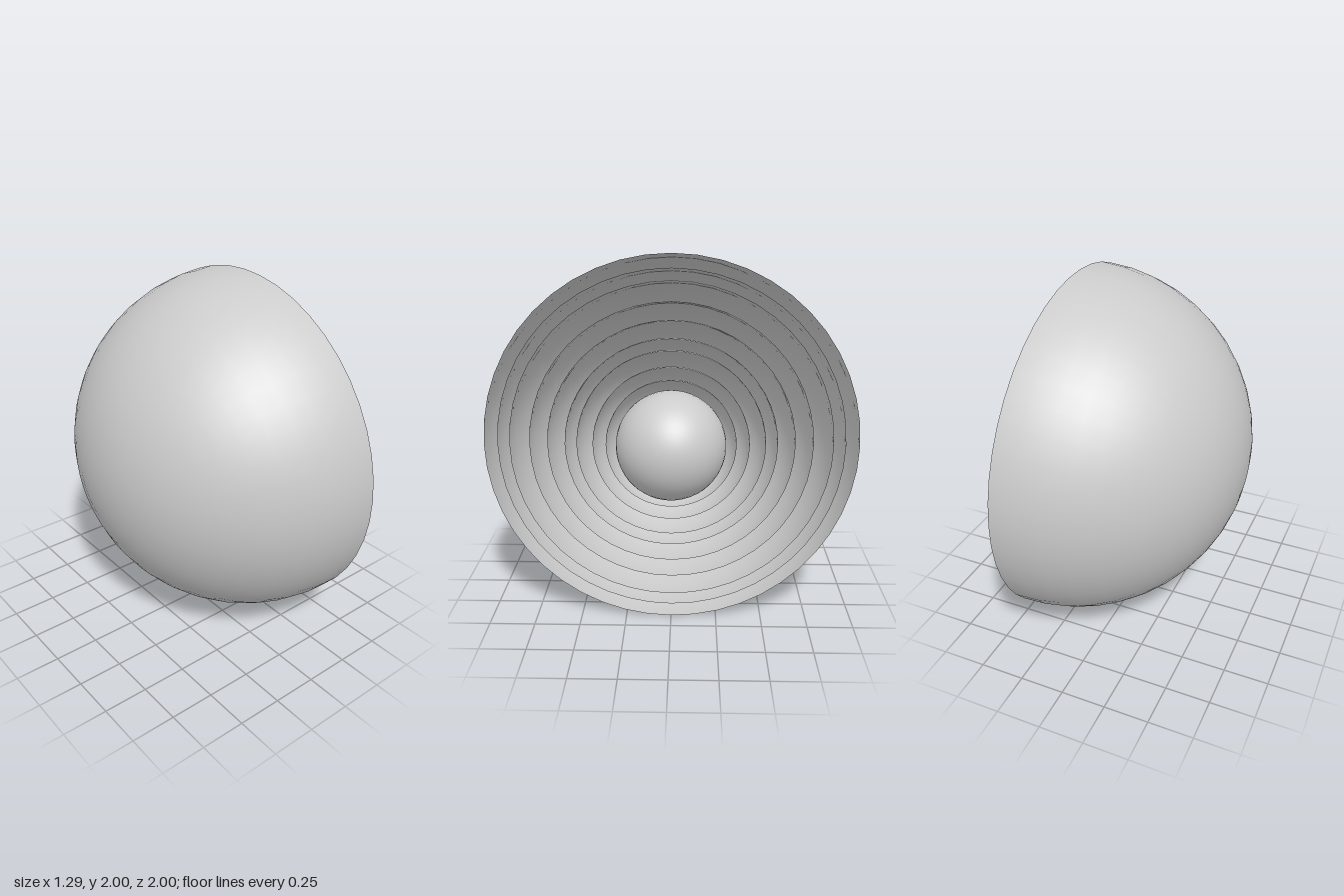
import * as THREE from 'three';

export function createModel() {
  const model = new THREE.Group();
  model.name = 'nestedShells';
  const shellMaterial = new THREE.MeshStandardMaterial({ color: 0xcccccc, side: THREE.DoubleSide });
  const coreMaterial = new THREE.MeshStandardMaterial({ color: 0xcccccc });

  // Concentric group: the bowls' poles point to -x, the opening tips up by two degrees
  const body = new THREE.Group();
  body.name = 'body';
  body.position.set(0.355, 1, 0);
  body.rotation.z = Math.PI / 2 + THREE.MathUtils.degToRad(2);
  model.add(body);

  // Thin open half-spheres, from the outermost inwards
  const radii = [1, 0.927, 0.863, 0.756, 0.66, 0.567, 0.504, 0.418, 0.348];
  radii.forEach((radius, i) => {
    const geometry = new THREE.SphereGeometry(radius, 48, 12, 0, Math.PI * 2, 0, Math.PI / 2);
    const shell = new THREE.Mesh(geometry, shellMaterial);
    shell.name = i === 0 ? 'outerShell' : `innerShell${i}`;
    body.add(shell);
  });

  // Whole ball at the centre
  const core = new THREE.Mesh(new THREE.SphereGeometry(0.293, 48, 24), coreMaterial);
  core.name = 'core';
  body.add(core);

  return model;
}
